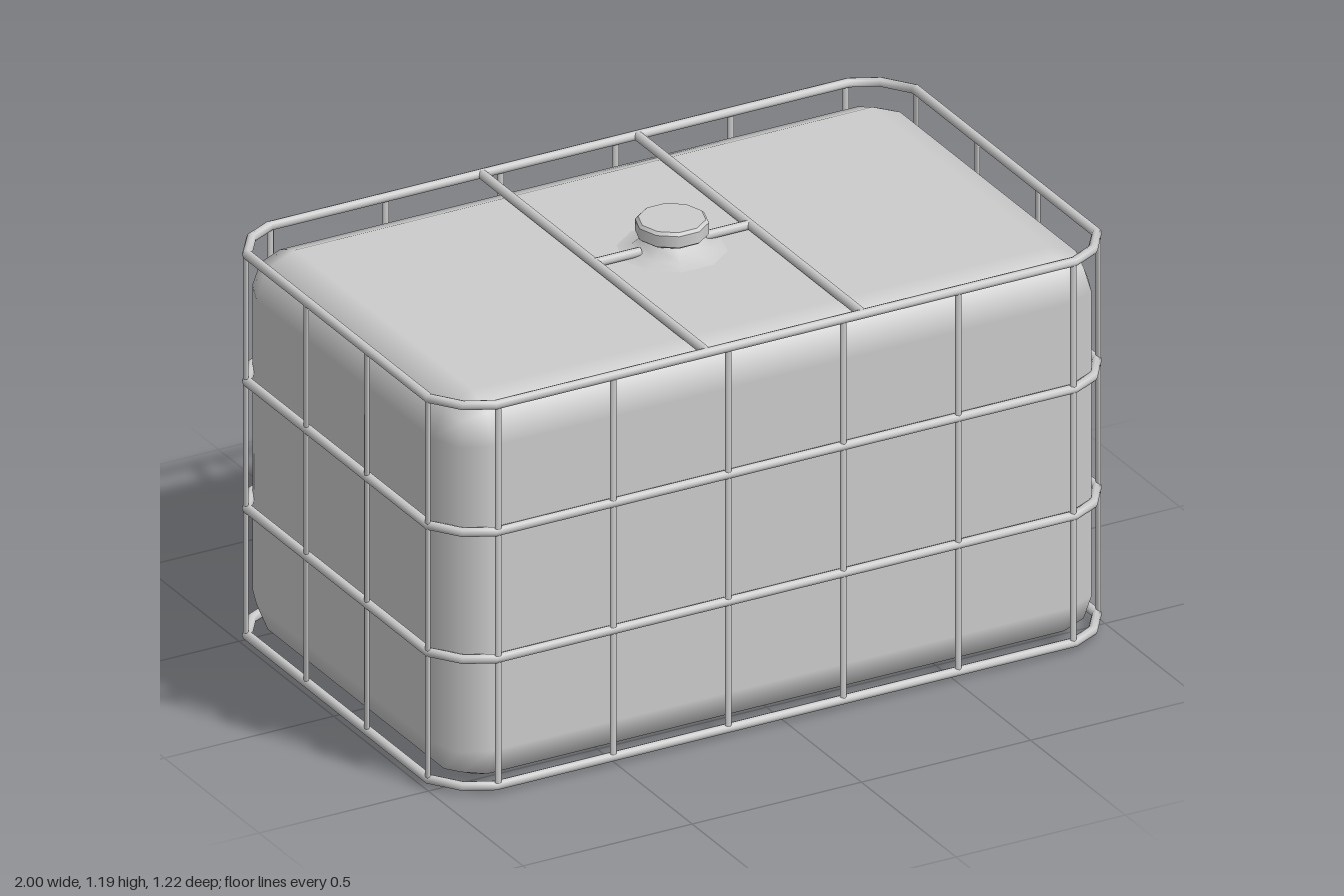
import * as THREE from 'three';
import { RoundedBoxGeometry } from 'three/addons/geometries/RoundedBoxGeometry.js';

const grey = new THREE.MeshStandardMaterial({ color: 0xcccccc });
const RAIL = 0.013;   // rail radius
const SIDES = 8;
const TOP = 1.118, BOTTOM = 0.023;

function part(parent, name, geometry) {
  const mesh = new THREE.Mesh(geometry, grey);
  mesh.name = name;
  parent.add(mesh);
  return mesh;
}

// Closed horizontal tube with mitred corners, swept along a counter-clockwise loop
function ringGeometry(path, radius) {
  const n = path.length, pos = [], index = [];
  path.forEach((p, i) => {
    const d1 = p.clone().sub(path[(i + n - 1) % n]).normalize();
    const d2 = path[(i + 1) % n].clone().sub(p).normalize();
    const n1 = new THREE.Vector2(d1.y, -d1.x), n2 = new THREE.Vector2(d2.y, -d2.x);
    const out = n1.clone().add(n2).divideScalar(1 + n1.dot(n2));
    for (let j = 0; j < SIDES; j++) {
      const a = (j / SIDES) * Math.PI * 2, r = radius * Math.cos(a);
      pos.push(p.x + out.x * r, radius * Math.sin(a), p.y + out.y * r);
      const k = (j + 1) % SIDES, m = (i + 1) % n;
      const A = i * SIDES + j, B = i * SIDES + k, C = m * SIDES + k, D = m * SIDES + j;
      index.push(A, B, C, A, C, D);
    }
  });
  const g = new THREE.BufferGeometry();
  g.setAttribute('position', new THREE.Float32BufferAttribute(pos, 3));
  g.setIndex(index);
  g.computeVertexNormals();
  return g;
}

export function createModel() {
  const model = new THREE.Group();
  model.name = 'cagedTank';

  // Tank body with softly bevelled edges
  part(model, 'tank', new RoundedBoxGeometry(1.936, 1.105, 1.16, 1, 0.115)).position.y = 0.5525;

  // Flared filler neck and screw cap
  const lathe = (points) => new THREE.LatheGeometry(
    points.map(([r, y]) => new THREE.Vector2(r, y)), 10, Math.PI / 2);
  part(model, 'fillerNeck', lathe([[0.15, 1.104], [0.105, 1.112], [0.08, 1.135], [0.066, 1.15]]));
  part(model, 'cap', lathe([
    [0, 1.146], [0.088, 1.146], [0.088, 1.146], [0.096, 1.152], [0.096, 1.152],
    [0.096, 1.184], [0.096, 1.184], [0.088, 1.192], [0.088, 1.192], [0, 1.192],
  ]));

  // Horizontal rails: a rectangle with two-step corners
  const corner = [[0.987, 0.48], [0.93, 0.56], [0.855, 0.597]];
  const loop = [];
  [[1, 1], [-1, 1], [-1, -1], [1, -1]].forEach(([sx, sz]) => {
    const pts = sx * sz > 0 ? corner : [...corner].reverse();
    pts.forEach(([x, z]) => loop.push(new THREE.Vector2(x * sx, z * sz)));
  });
  const rails = new THREE.Group();
  rails.name = 'rails';
  model.add(rails);
  const ring = ringGeometry(loop, RAIL);
  for (let i = 0; i < 4; i++) {
    part(rails, 'rail', ring).position.y = BOTTOM + (TOP - BOTTOM) * i / 3;
  }

  // Upright bars, slightly flattened against the rails
  const posts = new THREE.Group();
  posts.name = 'posts';
  model.add(posts);
  const postGeometry = new THREE.CylinderGeometry(0.0095, 0.0095, TOP - BOTTOM, SIDES);
  postGeometry.scale(1, 1, 0.65);
  const post = (x, z, turn) => {
    const m = part(posts, 'post', postGeometry);
    m.position.set(x, (TOP + BOTTOM) / 2, z);
    m.rotation.y = turn;
  };
  for (const s of [-1, 1]) {
    for (let i = 0; i < 6; i++) post(-0.85 + 0.34 * i, s * 0.601, 0);
    for (let i = 0; i < 4; i++) post(s * 0.991, -0.48 + 0.32 * i, Math.PI / 2);
  }

  // Bars over the top, with short stubs reaching in towards the neck
  const longBar = new THREE.CylinderGeometry(RAIL, RAIL, 1.194, SIDES).rotateX(Math.PI / 2);
  const stub = new THREE.CylinderGeometry(RAIL, RAIL, 0.135, SIDES).rotateZ(Math.PI / 2);
  for (const s of [-1, 1]) {
    part(model, 'topBar', longBar).position.set(s * 0.23, TOP, 0);
    part(model, 'topBarStub', stub).position.set(s * 0.1625, TOP, 0);
  }
  return model;
}
